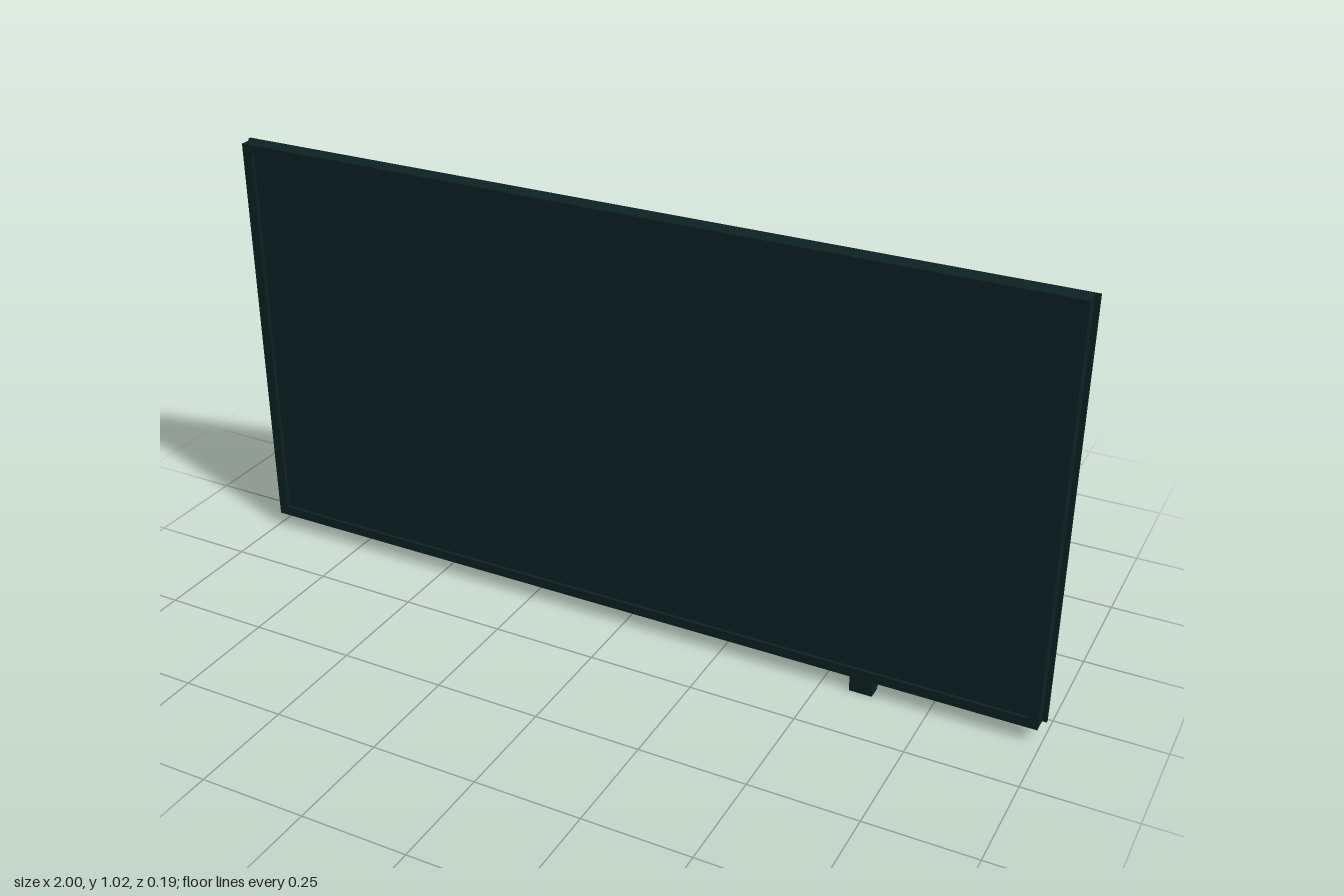
import * as THREE from 'three';

const CY = 0.53; // height of the panel centre

// Closed loft through rectangular sections [halfWidth, yMin, yMax, z], ordered back to front
function loftRects(sections) {
  const rings = sections.map(([w, y0, y1, z]) => [[-w, y0, z], [w, y0, z], [w, y1, z], [-w, y1, z]]);
  const pos = [];
  const quad = (a, b, c, d) => pos.push(...a, ...b, ...c, ...a, ...c, ...d);
  for (let i = 0; i + 1 < rings.length; i++) {
    const b = rings[i], f = rings[i + 1];
    for (let k = 0; k < 4; k++) {
      const n = (k + 1) % 4;
      quad(b[k], b[n], f[n], f[k]);
    }
  }
  const first = rings[0], last = rings[rings.length - 1];
  quad(first[3], first[2], first[1], first[0]);
  quad(last[0], last[1], last[2], last[3]);
  const geo = new THREE.BufferGeometry();
  geo.setAttribute('position', new THREE.Float32BufferAttribute(pos, 3));
  geo.computeVertexNormals();
  return geo;
}

function rectPath(PathType, w, h) {
  const p = new PathType();
  p.moveTo(-w, -h);
  p.lineTo(w, -h);
  p.lineTo(w, h);
  p.lineTo(-w, h);
  p.closePath();
  return p;
}

export function createModel() {
  const group = new THREE.Group();
  const casing = new THREE.MeshStandardMaterial({ color: 0x0d2223 });
  casing.name = 'dark teal casing';

  const add = (name, geo, x = 0, y = 0, z = 0) => {
    const mesh = new THREE.Mesh(geo, casing);
    mesh.name = name;
    mesh.position.set(x, y, z);
    group.add(mesh);
    return mesh;
  };

  // Bezel: rectangular ring around the screen
  const ring = rectPath(THREE.Shape, 0.99, 0.493);
  ring.holes.push(rectPath(THREE.Path, 0.965, 0.47));
  add('bezel', new THREE.ExtrudeGeometry(ring, { depth: 0.04, bevelEnabled: false }), 0, CY, 0.058);

  // Slightly wider lip behind the bezel
  add('rearLip', new THREE.BoxGeometry(2, 0.986, 0.008), 0, CY, 0.058);

  // Recessed screen
  add('screen', new THREE.BoxGeometry(1.932, 0.942, 0.03), 0, CY, 0.075);

  // Tapered back housing
  add('backHousing', loftRects([
    [0.62, 0.225, 0.832, -0.097],
    [0.98, 0.06, 1.0, 0.056],
  ]));

  // Small sensor foot under the bezel, with its lower rear edge chamfered
  const side = new THREE.Shape([[0.098, 0], [0.098, 0.04], [0.055, 0.04], [0.055, 0.015], [0.068, 0]]
    .map(([z, y]) => new THREE.Vector2(-z, y)));
  const sensor = add('sensor', new THREE.ExtrudeGeometry(side, { depth: 0.054, bevelEnabled: false }), 0.567, 0, 0);
  sensor.rotation.y = Math.PI / 2;

  return group;
}
